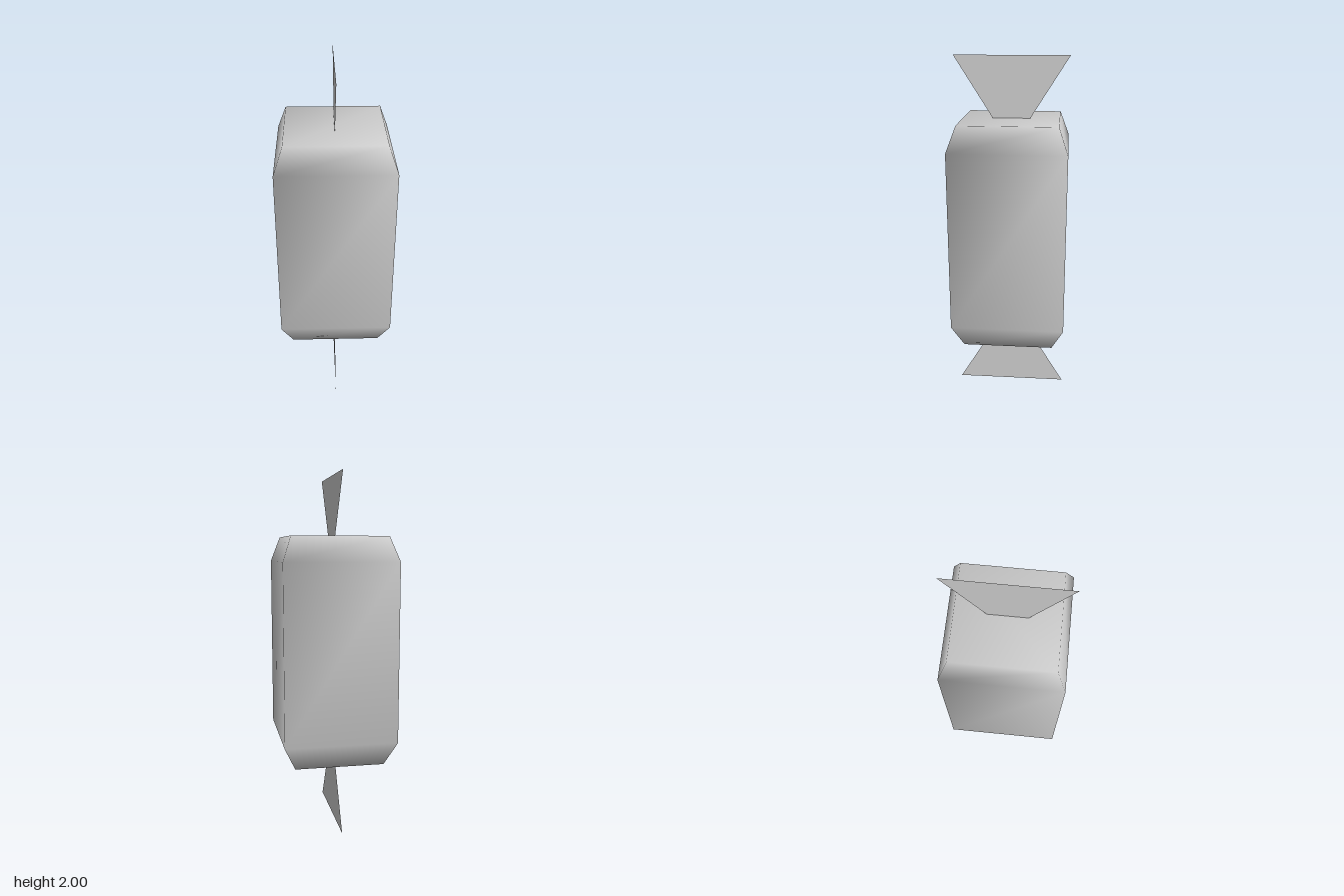
import * as THREE from 'three';
import { mergeVertices } from 'three/addons/utils/BufferGeometryUtils.js';

const material = new THREE.MeshStandardMaterial({ color: 0xcccccc, side: THREE.DoubleSide });

// Square body with tapered ends; [height, half width] for each ring
function createBody() {
  const rings = [[0.37, 0.255], [0.51, 0.32], [1.52, 0.32], [1.66, 0.27]];
  const box = new THREE.BoxGeometry(2, 3, 2, 1, 3, 1);
  const pos = box.attributes.position;
  for (let i = 0; i < pos.count; i++) {
    const [y, half] = rings[Math.round(pos.getY(i) + 1.5)];
    pos.setXYZ(i, pos.getX(i) * half, y, pos.getZ(i) * half);
  }
  // Weld the corners so the shading runs softly over every edge
  box.deleteAttribute('normal');
  box.deleteAttribute('uv');
  const geometry = mergeVertices(box);
  geometry.computeVertexNormals();
  const body = new THREE.Mesh(geometry, material);
  body.name = 'wrappedBody';
  return body;
}

// Flat flared wrapper end, lying in the x = 0 plane
function createTwist(name, innerY, innerHalf, outerY, outerHalf) {
  const shape = new THREE.Shape([
    new THREE.Vector2(-innerHalf, innerY),
    new THREE.Vector2(innerHalf, innerY),
    new THREE.Vector2(outerHalf, outerY),
    new THREE.Vector2(-outerHalf, outerY),
  ]);
  const twist = new THREE.Mesh(new THREE.ShapeGeometry(shape).rotateY(Math.PI / 2), material);
  twist.name = name;
  return twist;
}

export function createModel() {
  const model = new THREE.Group();
  model.name = 'wrappedCandy';
  model.add(
    createBody(),
    createTwist('topTwist', 1.66, 0.105, 2, 0.32),
    createTwist('bottomTwist', 0.37, 0.095, 0, 0.32),
  );
  return model;
}
